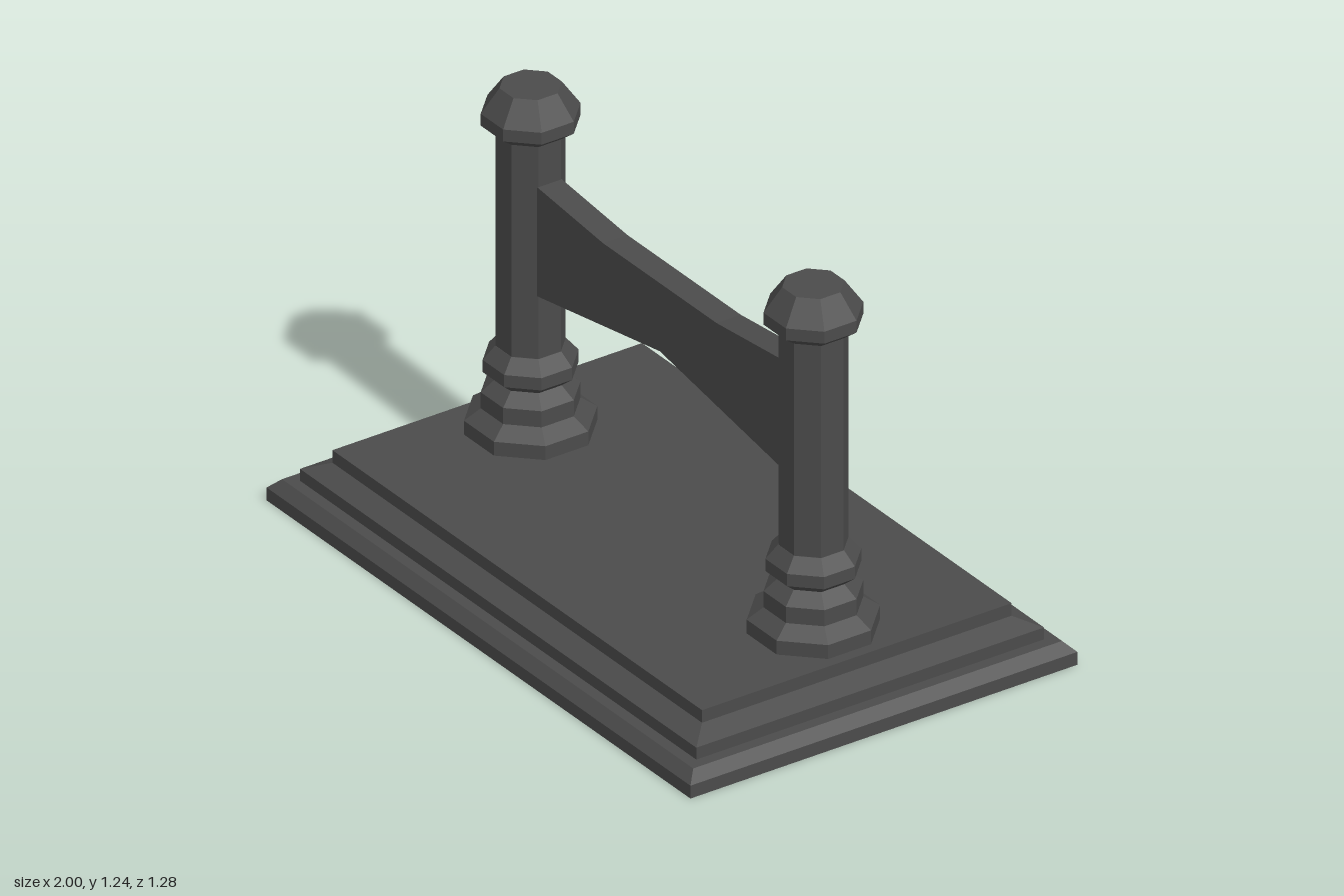
import * as THREE from 'three';

// Closed solid lofted through rings of [x, z] corners stacked at rising heights
function loft(levels) {
  const pos = [];
  const rings = levels.map(({ y, ring }) => ring.map(([x, z]) => [x, y, z]));
  const n = rings[0].length;
  const last = rings.length - 1;
  const tri = (a, b, c) => pos.push(...a, ...b, ...c);
  for (let i = 0; i < n; i++) {
    const j = (i + 1) % n;
    for (let k = 0; k < last; k++) {
      const lo = rings[k], up = rings[k + 1];
      tri(lo[i], up[i], up[j]);
      tri(lo[i], up[j], lo[j]);
    }
    tri([0, levels[0].y, 0], rings[0][i], rings[0][j]);
    tri([0, levels[last].y, 0], rings[last][j], rings[last][i]);
  }
  const geo = new THREE.BufferGeometry();
  geo.setAttribute('position', new THREE.Float32BufferAttribute(pos, 3));
  geo.computeVertexNormals();
  return geo;
}

// Rectangle inset equally from the 2 x 1.28 footprint
const rect = (inset) => {
  const x = 1 - inset, z = 0.64 - inset;
  return [[x, -z], [x, z], [-x, z], [-x, -z]];
};

// Octagon with flats facing the axes, sized by half its width across flats
const octagon = (half) => Array.from({ length: 8 }, (_, i) => {
  const a = (i + 0.5) * Math.PI / 4, r = half / Math.cos(Math.PI / 8);
  return [r * Math.cos(a), r * Math.sin(a)];
});

const profile = (shape, points) => loft(points.map(([size, y]) => ({ y, ring: shape(size) })));

export function createModel() {
  const model = new THREE.Group();
  const darkGrey = new THREE.MeshStandardMaterial({ color: 0x4b4b4b });
  darkGrey.name = 'dark grey';

  const add = (name, geometry, parent = model) => {
    const mesh = new THREE.Mesh(geometry, darkGrey);
    mesh.name = name;
    parent.add(mesh);
    return mesh;
  };

  // Stepped, chamfered plinth
  add('plinth', profile(rect, [
    [0, 0], [0, 0.04], [0.03, 0.07], [0.065, 0.07], [0.065, 0.107],
    [0.128, 0.135], [0.128, 0.174],
  ]));

  // Pair of octagonal posts
  const foot = profile(octagon, [
    [0.171, 0.174], [0.171, 0.217], [0.128, 0.25], [0.128, 0.3], [0.092, 0.335],
  ]);
  const collar = profile(octagon, [
    [0.092, 0.335], [0.123, 0.362], [0.123, 0.4], [0.091, 0.44],
  ]);
  const shaft = profile(octagon, [[0.09, 0.44], [0.09, 1.1]]);
  const cap = profile(octagon, [
    [0.09, 1.1], [0.128, 1.13], [0.128, 1.167], [0.08, 1.24],
  ]);
  for (const [side, x] of [['left', 0.667], ['right', -0.667]]) {
    const post = new THREE.Group();
    post.name = side + 'Post';
    post.position.x = x;
    add('foot', foot, post);
    add('collar', collar, post);
    add('shaft', shaft, post);
    add('cap', cap, post);
    model.add(post);
  }

  // Crossbar, flared towards the posts
  const outline = new THREE.Shape([
    [-0.6, 0.632], [0, 0.733], [0.6, 0.632], [0.6, 0.977],
    [0.267, 0.945], [-0.267, 0.945], [-0.6, 0.977],
  ].map(([x, y]) => new THREE.Vector2(x, y)));
  const bar = new THREE.ExtrudeGeometry(outline, { depth: 0.08, bevelEnabled: false });
  bar.translate(0, 0, -0.04);
  add('crossbar', bar);

  return model;
}
